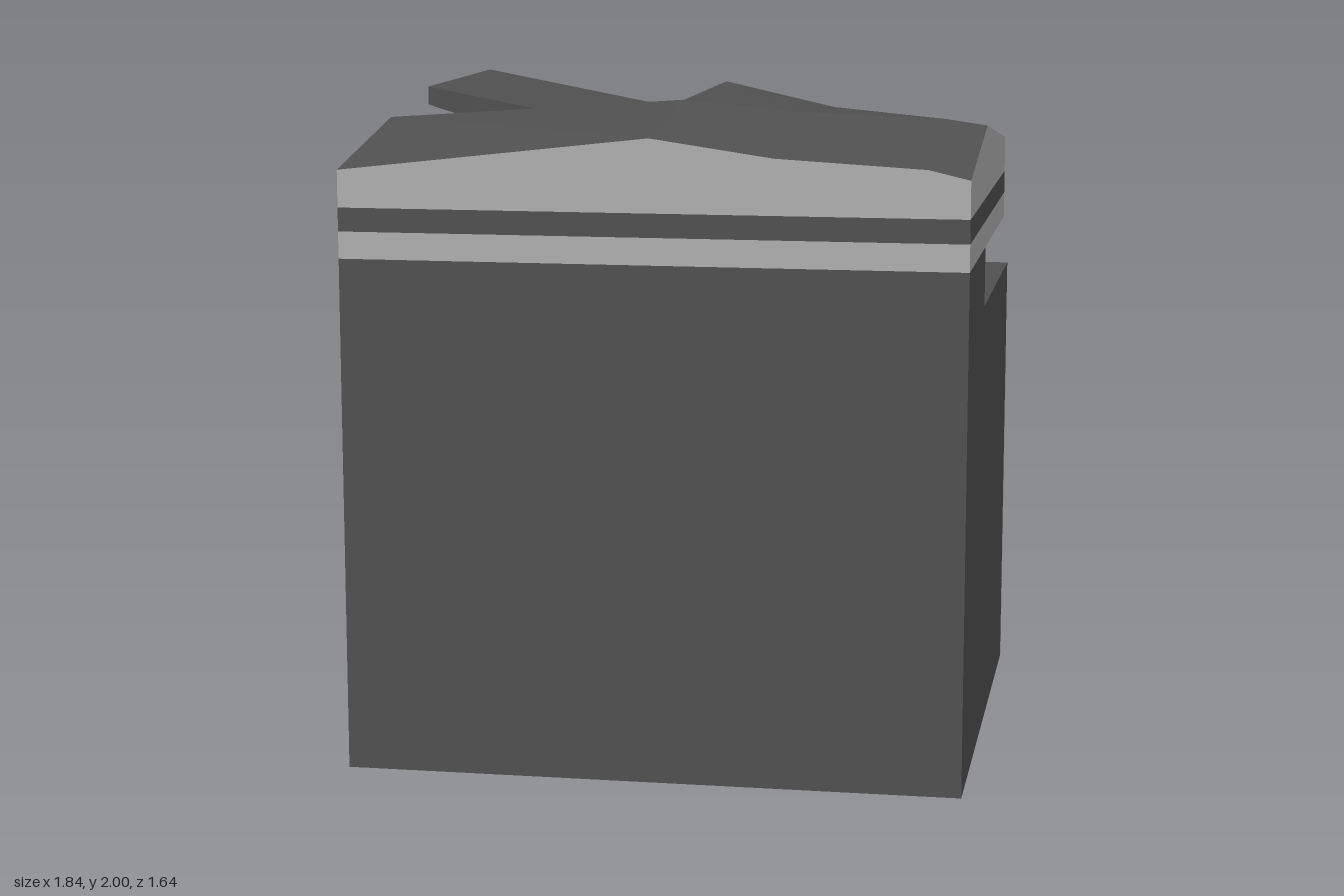
import * as THREE from 'three';

export function createModel() {
  const model = new THREE.Group();
  const material = (name, color) => {
    const m = new THREE.MeshStandardMaterial({ color });
    m.name = name;
    return m;
  };
  const dark = material('charcoal', 0x505050);
  const grey = material('light grey', 0xaeaeae);
  const green = material('green', 0x48c4a0);

  function add(name, geometry, mat) {
    const mesh = new THREE.Mesh(geometry, mat);
    mesh.name = name;
    model.add(mesh);
    return mesh;
  }
  // Box given by its limits on each axis
  function box(name, x0, x1, y0, y1, z0, z1, mat) {
    const g = new THREE.BoxGeometry(x1 - x0, y1 - y0, z1 - z0);
    g.translate((x0 + x1) / 2, (y0 + y1) / 2, (z0 + z1) / 2);
    return add(name, g, mat);
  }
  const outline = (pts) => new THREE.Shape(pts.map(([x, y]) => new THREE.Vector2(x, y)));
  const extrude = (shape, depth) => new THREE.ExtrudeGeometry(shape, { depth, bevelEnabled: false });

  const W = 0.92, FRONT = 0.82, BACK = -0.8, RIDGE = 0.225, REAR = -0.58;
  const SLOT0 = 0.36, SLOT1 = 0.8, SLOT_H = 0.09;
  const drawers = [[0, 0.265], [0.272, 0.538], [0.545, 0.808], [0.82, 1.09]];

  // Lower cabinet, with a back panel holding the grip recesses
  box('cabinet', -W, W, 0, 1.36, BACK + 0.06, FRONT, dark);
  const panel = outline([[-W, 0], [W, 0], [W, 1.36], [-W, 1.36]]);
  for (const [, top] of drawers) {
    panel.holes.push(outline([[SLOT0, top - SLOT_H], [SLOT0, top], [SLOT1, top], [SLOT1, top - SLOT_H]]));
  }
  add('backPanel', extrude(panel, 0.06).translate(0, 0, BACK), dark);

  // Drawer fronts, notched along the top for the grip
  drawers.forEach(([y0, y1], i) => {
    const low = y1 - SLOT_H;
    const s = outline([[0, y0], [W, y0], [W, y1], [SLOT1, y1], [SLOT1, low], [SLOT0, low], [SLOT0, y1], [0, y1]]);
    add('drawer' + (i + 1), extrude(s, 0.02).translate(0, 0, BACK - 0.02), grey);
  });

  // Upper cabinet around the paper outlet
  box('upperCabinet', -W, W, 1.36, 1.54, RIDGE, FRONT, dark);
  const consoleShape = outline([[-RIDGE, 1.36], [-BACK, 1.36], [-REAR, 1.54], [-RIDGE, 1.54]]);
  add('console', extrude(consoleShape, W).rotateY(Math.PI / 2).translate(-W, 0, 0), dark);

  // Sloping control panel
  const rise = 0.18, run = REAR - BACK;
  const control = add('controlPanel', new THREE.PlaneGeometry(W, Math.hypot(rise, run)), green);
  control.rotation.x = Math.atan2(-run, -rise);
  control.position.set(-W / 2, 1.452, (BACK + REAR) / 2 - 0.002);

  // Scanner bands
  box('lowerBandFront', -W, W, 1.54, 1.62, RIDGE, FRONT, grey);
  box('lowerBandRear', -W, W, 1.54, 1.62, REAR, RIDGE, [grey, dark, dark, dark, grey, grey]);
  box('upperBand', -W, W, 1.62, 1.69, REAR, FRONT, dark);

  // Faceted lid: top heights on an x by z grid, rear corner left open for the tray
  const xs = [-W, 0, 0.36, 0.8, W];
  const zs = [REAR, RIDGE, FRONT];
  const heights = [
    [1.8, 1.97, 1.89, 1.84, 1.8],
    [1.905, 1.97, 1.937, 1.922, 1.905],
    [1.8, 1.905, 1.853, 1.828, 1.8],
  ];
  const top = (i, j) => [xs[i], heights[j][i], zs[j]];
  const foot = (i, j) => [xs[i], 1.69, zs[j]];
  const filled = (i, j) => i >= 0 && i < 4 && j >= 0 && j < 2 && !(i === 0 && j === 0);
  const faces = { dark: [], grey: [] };
  const quad = (list, a, b, c, d) => list.push(...a, ...b, ...c, ...a, ...c, ...d);
  const wall = (list, i0, j0, i1, j1) => quad(list, foot(i0, j0), foot(i1, j1), top(i1, j1), top(i0, j0));
  for (let i = 0; i < 4; i++) {
    for (let j = 0; j < 2; j++) {
      if (!filled(i, j)) continue;
      quad(faces.dark, top(i, j), top(i, j + 1), top(i + 1, j + 1), top(i + 1, j));
      if (!filled(i, j + 1)) wall(faces.grey, i, j + 1, i + 1, j + 1);
      if (!filled(i + 1, j)) wall(faces.grey, i + 1, j + 1, i + 1, j);
      if (!filled(i, j - 1)) wall(j > 0 ? faces.dark : faces.grey, i + 1, j, i, j);
      if (!filled(i - 1, j)) wall(i > 0 ? faces.dark : faces.grey, i, j, i, j + 1);
    }
  }
  const surface = (positions) => {
    const g = new THREE.BufferGeometry();
    g.setAttribute('position', new THREE.Float32BufferAttribute(positions, 3));
    g.computeVertexNormals();
    return g;
  };
  add('lidTop', surface(faces.dark), dark);
  add('lidSides', surface(faces.grey), grey);

  // Wedge-shaped feeder tray
  const tray = outline([[-0.8, 1.945], [0, 1.7], [0, 1.85], [-0.8, 2]]);
  add('feederTray', extrude(tray, RIDGE - REAR).translate(0, 0, REAR), dark);

  return model;
}
